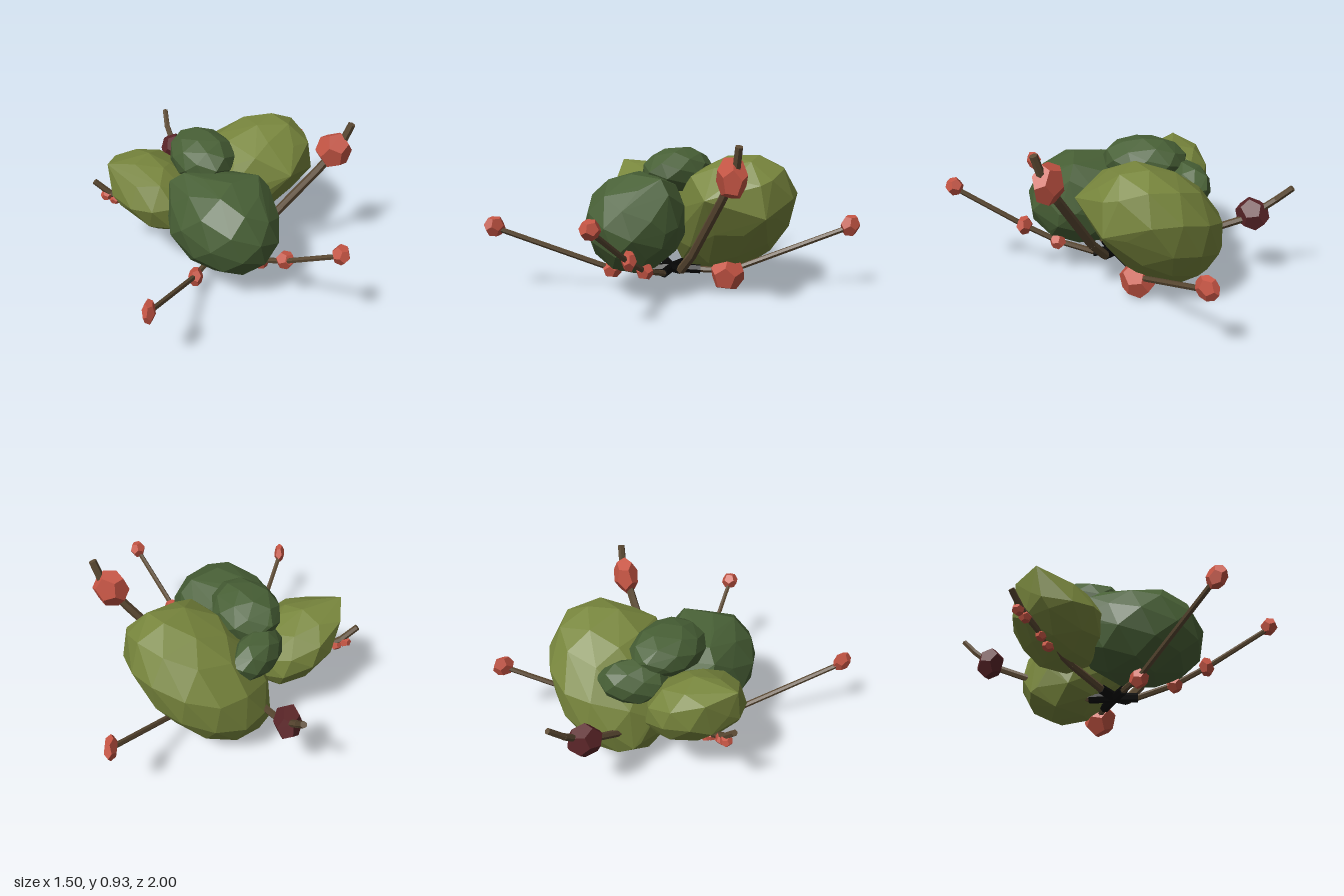
import * as THREE from 'three';
import { ConvexGeometry } from 'three/addons/geometries/ConvexGeometry.js';

const mat = (name, color) => {
  const m = new THREE.MeshStandardMaterial({ color, flatShading: true });
  m.name = name;
  return m;
};
const vec = (p) => new THREE.Vector3(...p);

export function createModel() {
  const group = new THREE.Group();
  const lightLeaf = mat('light leaf green', 0x78863d);
  const darkLeaf = mat('dark leaf green', 0x486036);
  const bark = mat('bark brown', 0x5c4a33);
  const rootBlack = mat('root black', 0x060606);
  const berryRed = mat('berry red', 0xc65544);
  const berryDark = mat('dark berry', 0x5c2629);

  const add = (name, geometry, material) => {
    const mesh = new THREE.Mesh(geometry, material);
    mesh.name = name;
    group.add(mesh);
    return mesh;
  };

  // Foliage: faceted hull of points spread evenly over a tilted ellipsoid, plus corner points
  function foliage(name, material, pos, radii, rotY, rotZ, count, corners = []) {
    const tilt = new THREE.Euler(0, rotY, rotZ);
    const points = corners.map(vec);
    for (let i = 0; i < count; i++) {
      const y = 1 - (2 * i + 1) / count;
      const r = Math.sqrt(1 - y * y);
      const a = i * 2.39996;
      points.push(new THREE.Vector3(r * Math.cos(a), y, r * Math.sin(a))
        .multiplyScalar(1.035 + 0.025 * Math.sin(i * 4.7))
        .multiply(vec(radii)).applyEuler(tilt).add(vec(pos)));
    }
    add(name, new ConvexGeometry(points), material);
  }

  foliage('frontFoliage', darkLeaf, [0.025, 0.43, 0.185], [0.35, 0.28, 0.275], -0.8, 0, 48,
    [[0.33, 0.42, 0.14], [0.28, 0.62, 0.1], [0.3, 0.28, 0.24], [-0.31, 0.5, 0.05],
      [-0.28, 0.62, 0.07], [0.22, 0.7, 0.12], [-0.2, 0.68, 0.08]]);
  foliage('backFoliage', lightLeaf, [0.115, 0.435, -0.385], [0.46, 0.28, 0.345], 0, 0.78, 54,
    [[0.55, 0.5, -0.35], [0.52, 0.68, -0.33], [0.41, 0.6, -0.05], [0.2, 0.7, -0.07],
      [-0.27, 0.18, -0.42], [-0.25, 0.3, -0.3]]);
  foliage('sideFoliage', lightLeaf, [-0.37, 0.46, -0.09], [0.29, 0.19, 0.27], 0, -0.65, 42,
    [[-0.63, 0.65, -0.16], [-0.64, 0.69, 0.02], [-0.62, 0.5, 0.05], [-0.3, 0.64, -0.1]]);
  foliage('topFoliage', darkLeaf, [-0.11, 0.69, -0.13], [0.185, 0.135, 0.23], 0.45, 0, 42,
    [[-0.3, 0.66, -0.2], [-0.26, 0.72, -0.32]]);
  foliage('rearFoliage', darkLeaf, [-0.185, 0.58, -0.37], [0.115, 0.125, 0.185], -0.45, 0, 36,
    [[-0.07, 0.6, -0.53]]);

  // Tapered stick between two points
  const up = new THREE.Vector3(0, 1, 0);
  function stick(name, a, b, r0, r1, material) {
    const dir = b.clone().sub(a);
    const mesh = add(name, new THREE.CylinderGeometry(r1, r0, dir.length() + 0.008, 6), material);
    mesh.position.copy(a).lerp(b, 0.5);
    mesh.quaternion.setFromUnitVectors(up, dir.normalize());
  }

  // Twig: black base out of the shared root, then tapering brown lengths
  function twig(r, path) {
    let from = new THREE.Vector3(0.03, 0.13, -0.03);
    path.map(vec).forEach((to, i) => {
      const taper = (k) => r * (1.1 - 0.3 * k / path.length);
      if (i === 0) stick('twigBase', from, to, 0.029, 0.027, rootBlack);
      else stick('twig', from, to, taper(i), taper(i + 1), bark);
      from = to;
    });
  }

  // Berry: twelve-sided lump
  function berry(pos, radii, turn = 0.4, material = berryRed) {
    const geometry = new THREE.DodecahedronGeometry(1.04);
    geometry.rotateY(turn).rotateX(turn * 0.7).scale(...radii);
    add('berry', geometry, material).position.set(...pos);
  }

  // Front twig
  twig(0.019, [[-0.04, 0.12, 0.1], [-0.13, 0.12, 0.3], [-0.295, 0.385, 0.92]]);
  berry([-0.125, 0.112, 0.29], [0.042, 0.054, 0.06]);
  berry([-0.295, 0.4, 0.937], [0.033, 0.062, 0.06], 1.4);

  // Front left twig
  twig(0.018, [[0.12, 0.13, 0.06], [0.25, 0.2, 0.23], [0.38, 0.31, 0.38], [0.64, 0.56, 0.66]]);
  berry([0.25, 0.2, 0.23], [0.046, 0.05, 0.05]);
  berry([0.38, 0.31, 0.37], [0.054, 0.056, 0.04], 1.4);
  berry([0.635, 0.565, 0.655], [0.047, 0.052, 0.052], 2.4);

  // Back left twig
  twig(0.019, [[0.1, 0.12, -0.18], [0.2, 0.12, -0.33], [0.51, 0.395, -0.93]]);
  berry([0.2, 0.105, -0.315], [0.08, 0.107, 0.105]);
  berry([0.51, 0.405, -0.938], [0.035, 0.065, 0.064], 1.4);

  // Tall left twig
  twig(0.027, [[0.14, 0.145, -0.04], [0.27, 0.265, -0.05], [0.57, 0.64, -0.075],
    [0.69, 0.81, -0.085], [0.73, 0.925, -0.075]]);
  berry([0.645, 0.76, -0.085], [0.1, 0.112, 0.072]);

  // Right twig with pairs of small berries
  twig(0.022, [[-0.08, 0.15, -0.03], [-0.29, 0.235, -0.05], [-0.49, 0.34, -0.06],
    [-0.66, 0.45, -0.06], [-0.74, 0.53, -0.05]]);
  for (const [x, y] of [[-0.63, 0.41], [-0.68, 0.435], [-0.51, 0.345], [-0.46, 0.3]]) {
    berry([x, y, -0.06], [0.036, 0.032, 0.034], x * 4);
  }

  // Back right twig with the dark berry
  twig(0.022, [[-0.04, 0.135, -0.16], [-0.2, 0.26, -0.42], [-0.33, 0.4, -0.7],
    [-0.4, 0.52, -0.83], [-0.42, 0.6, -0.91]]);
  berry([-0.355, 0.42, -0.715], [0.072, 0.095, 0.098], 0.4, berryDark);

  return group;
}
